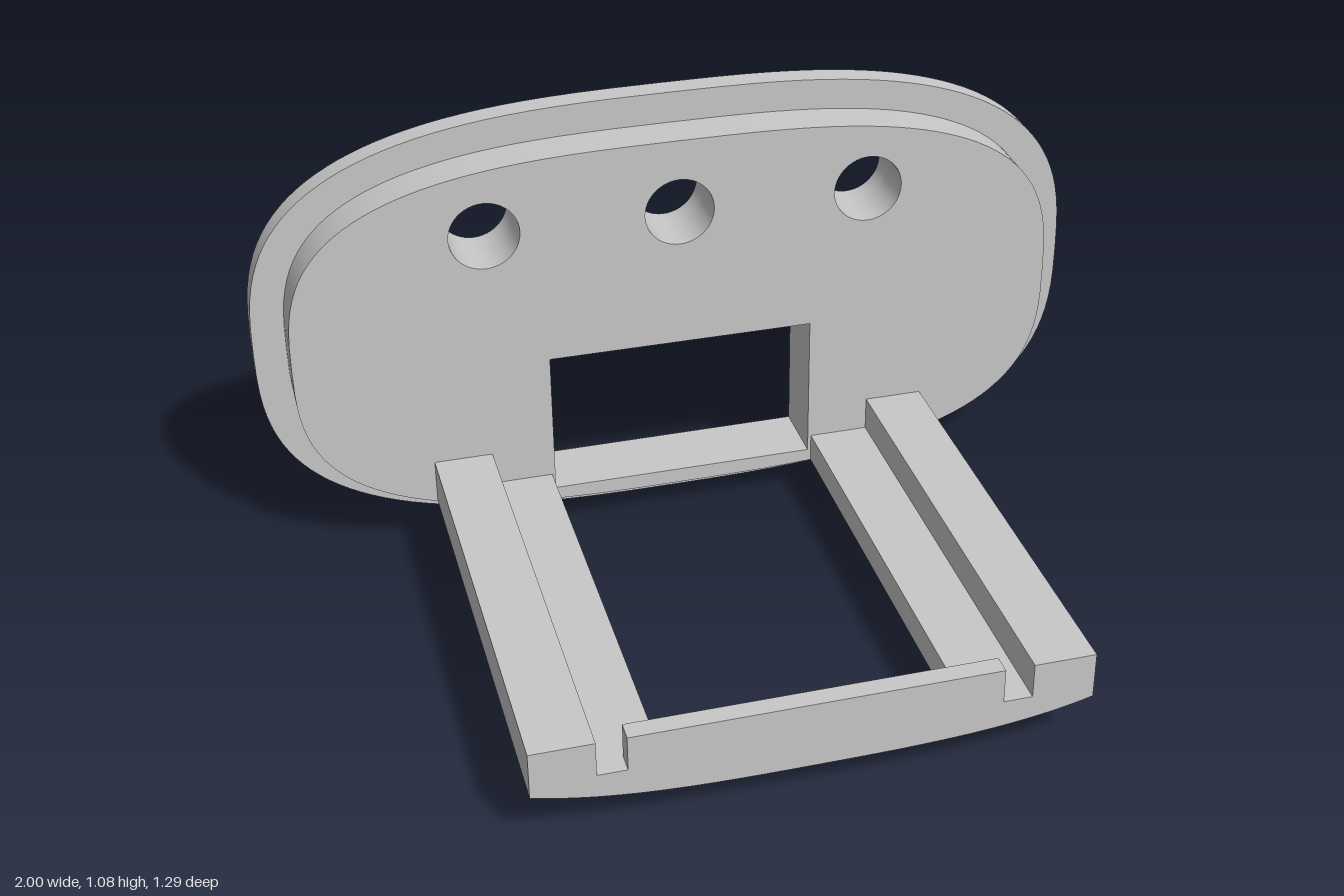
import * as THREE from 'three';
import { toCreasedNormals } from 'three/addons/utils/BufferGeometryUtils.js';

const CY = 0.54; // height of the panel centre
const PLUG = { a: 0.923, b: 0.463, n: 3 }; // inner oval

// Rounded oval outline (superellipse) with half sizes a, b and exponent n
function ovalShape(a, b, n, count = 128) {
  const pts = [];
  for (let i = 0; i < count; i++) {
    const t = (i / count) * Math.PI * 2;
    const c = Math.cos(t), s = Math.sin(t);
    pts.push(new THREE.Vector2(
      a * Math.sign(c) * Math.abs(c) ** (2 / n),
      CY + b * Math.sign(s) * Math.abs(s) ** (2 / n)));
  }
  return new THREE.Shape(pts);
}

// Underside of the tray follows the inner oval
const underside = x => CY - PLUG.b * (1 - Math.abs(x / PLUG.a) ** PLUG.n) ** (1 / PLUG.n);

// Curved underside from x0 to x1, closed by the given top points
function traySection(x0, x1, top) {
  const pts = [];
  for (let i = 0; i <= 12; i++) {
    const x = x0 + (x1 - x0) * i / 12;
    pts.push(new THREE.Vector2(x, underside(x)));
  }
  top.forEach(([x, y]) => pts.push(new THREE.Vector2(x, y)));
  return new THREE.Shape(pts);
}

// Three round ports and the rectangular window
function cutOpenings(shape) {
  for (const x of [-0.46, 0, 0.46]) {
    const hole = new THREE.Path();
    hole.absarc(x, 0.822, 0.083, 0, Math.PI * 2, true);
    shape.holes.push(hole);
  }
  shape.holes.push(new THREE.Path([[-0.322, 0.115], [-0.322, 0.477], [0.322, 0.477], [0.322, 0.115]]
    .map(p => new THREE.Vector2(...p))));
  return shape;
}

export function createModel() {
  const group = new THREE.Group();
  const grey = new THREE.MeshStandardMaterial({ color: 0xc8c8c8 });
  grey.name = 'light grey plastic';

  function addPart(name, shape, z0, z1) {
    const geo = new THREE.ExtrudeGeometry(shape, { depth: z1 - z0, bevelEnabled: false, curveSegments: 24 });
    geo.translate(0, 0, z0);
    const mesh = new THREE.Mesh(toCreasedNormals(geo, 0.5), grey);
    mesh.name = name;
    group.add(mesh);
  }

  // End panel: wide flange behind a smaller plug
  addPart('flange', cutOpenings(ovalShape(1, 0.538, 2.87)), -0.645, -0.585);
  addPart('plug', cutOpenings(ovalShape(PLUG.a, PLUG.b, PLUG.n)), -0.585, -0.48);

  // Stepped side rails: tall outer wall and low inner shelf
  addPart('leftRail', traySection(0.33, 0.613,
    [[0.613, 0.238], [0.473, 0.238], [0.473, 0.155], [0.33, 0.155]]), -0.48, 0.645);
  addPart('rightRail', traySection(-0.613, -0.33,
    [[-0.33, 0.155], [-0.473, 0.155], [-0.473, 0.238], [-0.613, 0.238]]), -0.48, 0.645);

  // Front cross bar, overlapping the shelves and leaving a slot at each end
  addPart('frontBar', traySection(-0.33, 0.33,
    [[0.33, 0.155], [0.408, 0.155], [0.408, 0.238], [-0.408, 0.238], [-0.408, 0.155], [-0.33, 0.155]]), 0.6, 0.645);

  // Stand the flange on the ground
  group.children.forEach(part => { part.position.y = -0.002; });
  return group;
}
